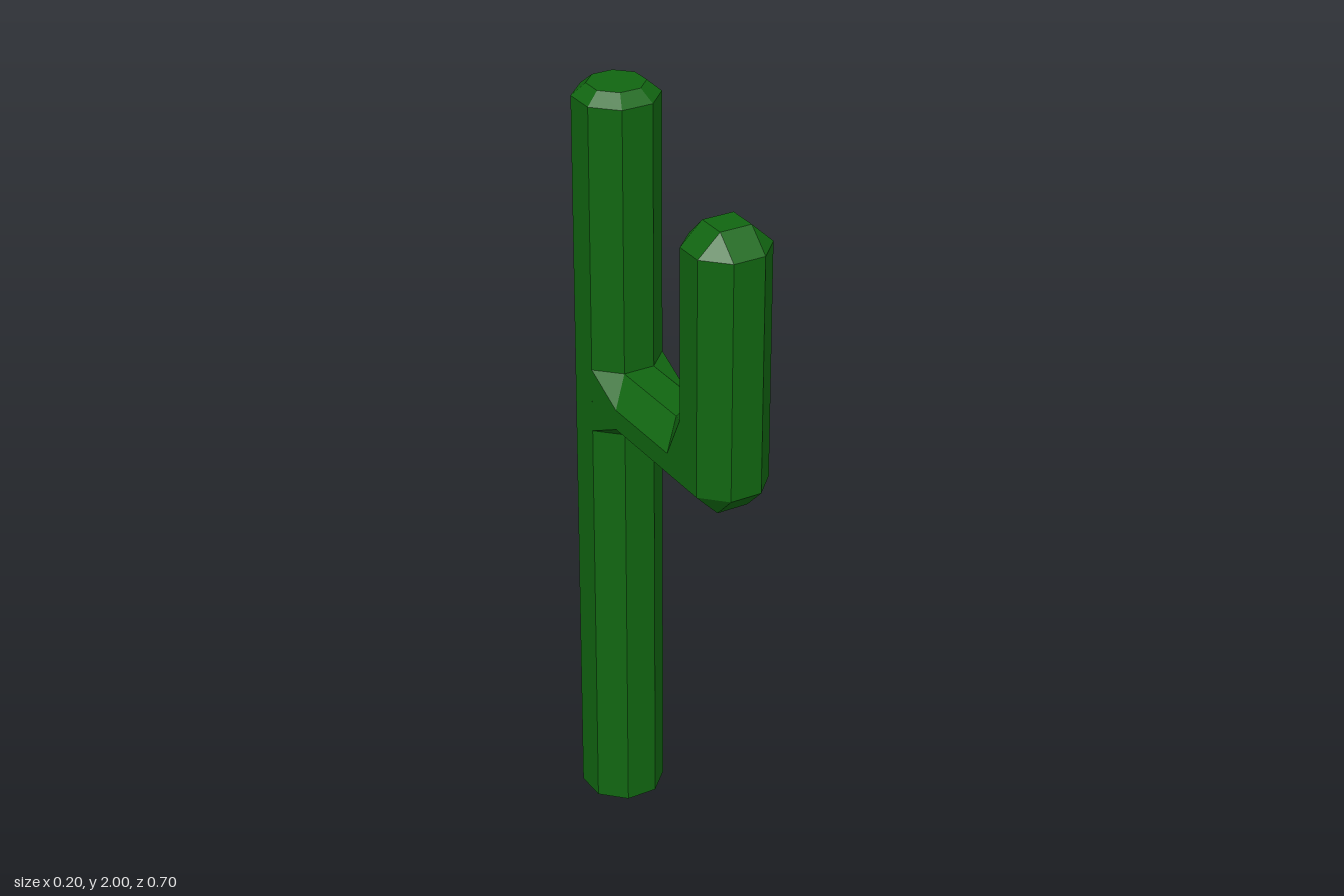
import * as THREE from 'three';

const H = 0.1;     // half width of every limb
const F = 0.0415;  // half width of one flat of the octagon
const material = new THREE.MeshStandardMaterial({ color: 0x116611, flatShading: true });

// Each ring lists the four +x corners from the inner flat to the outer flat;
// the other four are mirrored. Coinciding corners collapse quads to triangles.
function loft(rings) {
  const full = rings.map(half => [
    ...half,
    ...half.slice().reverse().map(([x, y, z]) => [-x, y, z]),
  ].map(p => new THREE.Vector3(...p)));
  const positions = [];
  const tri = (a, b, c) => {
    if (new THREE.Triangle(a, b, c).getArea() < 1e-7) return;
    for (const p of [a, b, c]) positions.push(p.x, p.y, p.z);
  };
  for (let r = 0; r < full.length - 1; r++) {
    const a = full[r], b = full[r + 1];
    for (let i = 0; i < 8; i++) {
      const j = (i + 1) % 8;
      tri(a[i], b[i], a[j]);
      tri(b[i], b[j], a[j]);
    }
  }
  // Close the tip
  const end = full[full.length - 1];
  for (let i = 1; i < 7; i++) tri(end[0], end[i + 1], end[i]);
  const geometry = new THREE.BufferGeometry();
  geometry.setAttribute('position', new THREE.Float32BufferAttribute(positions, 3));
  geometry.computeVertexNormals();
  return geometry;
}

export function createModel() {
  const group = new THREE.Group();

  // Octagonal trunk with a bevelled top
  const k = 1 / Math.cos(Math.PI / 8);
  const profile = [[0, 0], [H, 0], [H, 1.97], [0.067, 2], [0, 2]]
    .map(([r, y]) => new THREE.Vector2(r * k, y));
  const trunk = new THREE.Mesh(new THREE.LatheGeometry(profile, 8, Math.PI / 8), material);
  trunk.name = 'trunk';
  trunk.position.z = -0.25;
  group.add(trunk);

  // Arm: out of the trunk, round the elbow, up to a domed tip
  const arm = new THREE.Mesh(loft([
    // joint on the trunk
    [[F, 1.28, -0.15], [H, 1.28, -0.2085], [H, 1.11, -0.2085], [F, 1.11, -0.15]],
    // start of the horizontal part
    [[F, 1.28, -0.15], [H, 1.223, -0.09], [H, 1.17, -0.09], [F, 1.11, -0.15]],
    // elbow, before and after the bend
    [[F, 1.28, 0.098], [H, 1.223, 0.155], [H, 1.17, 0.29], [F, 1.11, 0.29]],
    [[F, 1.337, 0.155], [H, 1.337, 0.212], [H, 1.17, 0.29], [F, 1.17, 0.35]],
    // shoulder and top of the tip
    [[F, 1.783, 0.155], [H, 1.783, 0.212], [H, 1.783, 0.29], [F, 1.783, 0.35]],
    [[F, 1.838, 0.212], [F, 1.838, 0.212], [F, 1.838, 0.29], [F, 1.838, 0.29]],
  ]), material);
  arm.name = 'arm';
  group.add(arm);

  return group;
}
